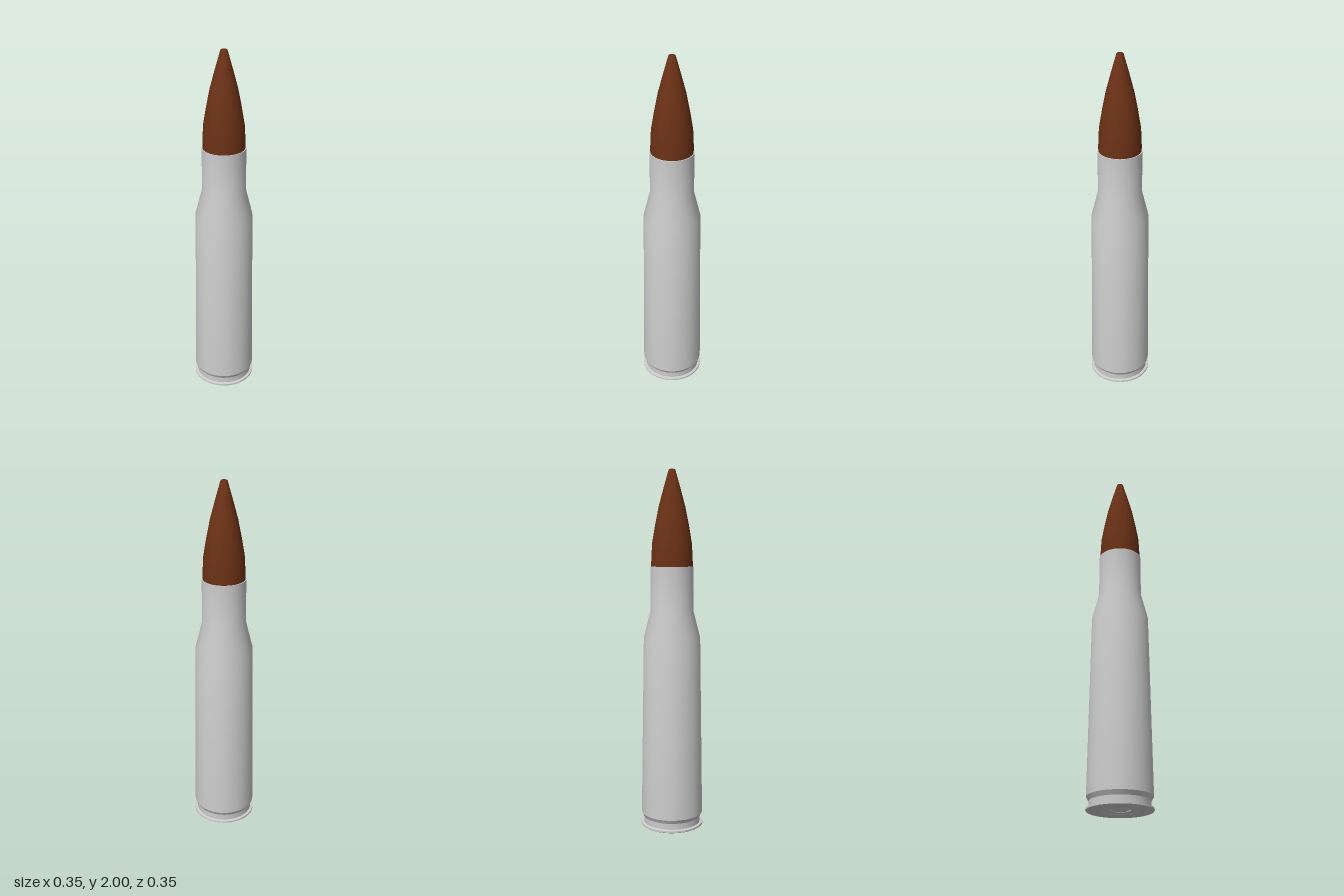
import * as THREE from 'three';
import { toCreasedNormals } from 'three/addons/utils/BufferGeometryUtils.js';

const SEGMENTS = 32;

// Turn a [radius, height] profile (bottom to top), keeping hard edges sharp
function turned(name, profile, color, crease) {
  const points = profile.map(([r, y]) => new THREE.Vector2(r, y));
  const geometry = toCreasedNormals(new THREE.LatheGeometry(points, SEGMENTS), crease);
  const material = new THREE.MeshStandardMaterial({ color });
  const mesh = new THREE.Mesh(geometry, material);
  mesh.name = name;
  return mesh;
}

export function createModel() {
  const group = new THREE.Group();
  group.name = 'cartridge';

  // Bottlenecked case: base with primer pocket, rim, extractor groove, body, shoulder, neck, mouth
  group.add(turned('case', [
    [0.052, 0.03], [0.056, 0.006], [0.09, 0.006], [0.096, 0],
    [0.172, 0], [0.176, 0.003], [0.176, 0.013],
    [0.161, 0.016], [0.161, 0.05], [0.174, 0.073],
    [0.158, 1.08], [0.12, 1.23], [0.12, 1.475],
    [0.115, 1.475], [0.114, 1.44],
  ], 0xcccccc, 0.35));

  // Primer cup with a small dimple in its centre
  group.add(turned('primer', [
    [0, 0.016], [0.012, 0.014], [0.022, 0.006], [0.046, 0.006], [0.052, 0.012], [0.052, 0.03],
  ], 0xcccccc, 0.35));

  // Tapered bullet seated in the neck, with a flat tip
  group.add(turned('bullet', [
    [0.115, 1.43], [0.115, 1.5], [0.11, 1.6], [0.093, 1.7],
    [0.073, 1.8], [0.046, 1.9], [0.019, 1.995], [0.016, 2], [0, 2],
  ], 0x6b3116, 0.6));

  return group;
}
